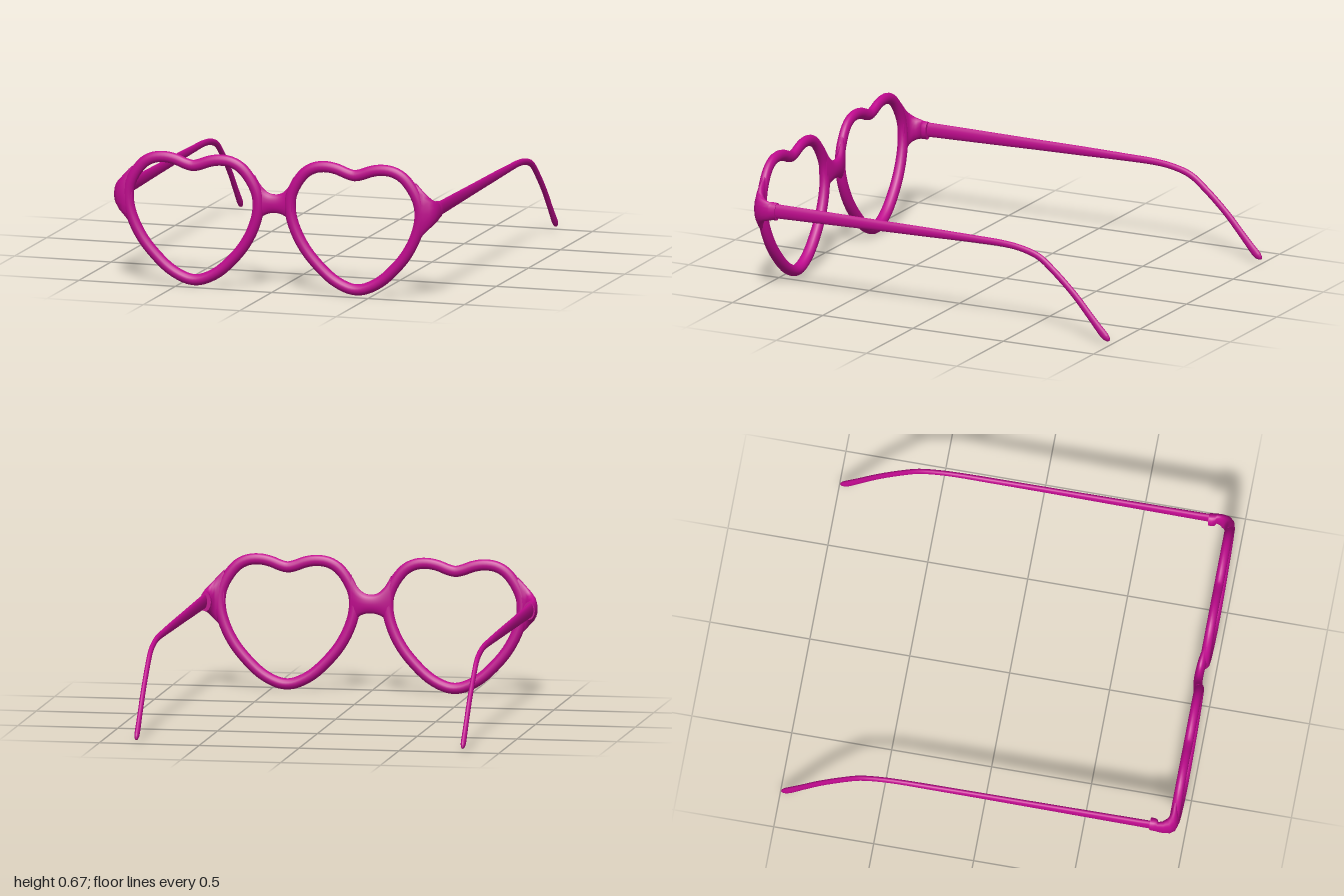
import * as THREE from 'three';

const V = (x, y, z) => new THREE.Vector3(x, y, z);

// Skin over elliptical sections { c: centre, u, v: half-axes }
function loft(sections, closed = false, sides = 16) {
  const pos = [], index = [], n = sections.length;
  const along = sections[1].c.clone().sub(sections[0].c);
  const flip = sections[0].u.clone().cross(sections[0].v).dot(along) < 0 ? -1 : 1;
  const ring = ({ c, u, v }) => {
    for (let j = 0; j < sides; j++) {
      const a = (j / sides) * Math.PI * 2;
      const p = c.clone().addScaledVector(u, Math.cos(a)).addScaledVector(v, flip * Math.sin(a));
      pos.push(p.x, p.y, p.z);
    }
  };
  sections.forEach(ring);
  for (let i = 0; i < (closed ? n : n - 1); i++) {
    const k = ((i + 1) % n) * sides;
    for (let j = 0; j < sides; j++) {
      const a = i * sides + j, b = i * sides + (j + 1) % sides;
      const c = k + j, d = k + (j + 1) % sides;
      index.push(a, b, c, b, d, c);
    }
  }
  if (!closed) {
    // flat end caps with their own vertices
    [sections[0], sections[n - 1]].forEach((s, end) => {
      const base = pos.length / 3;
      ring(s);
      pos.push(s.c.x, s.c.y, s.c.z);
      for (let j = 0; j < sides; j++) {
        const a = base + j, b = base + (j + 1) % sides;
        if (end) index.push(a, b, base + sides);
        else index.push(b, a, base + sides);
      }
    });
  }
  const g = new THREE.BufferGeometry();
  g.setAttribute('position', new THREE.Float32BufferAttribute(pos, 3));
  g.setIndex(index);
  g.computeVertexNormals();
  return g;
}

// Front leans forward slightly toward the top
const frontZ = (y) => 0.94 + 0.05 * y;

function heartRim(s) {
  const half = [
    [0, 0.607], [0.04, 0.616], [0.085, 0.633], [0.14, 0.643], [0.2, 0.637], [0.252, 0.61],
    [0.3, 0.552], [0.332, 0.48], [0.335, 0.4], [0.312, 0.315], [0.264, 0.223], [0.2, 0.145],
    [0.125, 0.077], [0.05, 0.038], [0, 0.029],
  ];
  const all = [...half, ...half.slice(1, -1).reverse().map(([x, y]) => [-x, y])];
  const curve = new THREE.CatmullRomCurve3(all.map(([x, y]) => V(s * 0.42 + x, y, frontZ(y))), true);
  const sections = [];
  for (let i = 0; i < 84; i++) {
    const c = curve.getPoint(i / 84);
    const v = V(0, 0.05, 1).normalize();
    const u = curve.getTangent(i / 84).cross(v).normalize();
    sections.push({ c, u: u.multiplyScalar(0.028), v: v.multiplyScalar(0.03 - 0.012 * c.y) });
  }
  return loft(sections, true);
}

// Nose bridge flaring into both rims
function bridge() {
  const sections = [];
  for (let i = -10; i <= 10; i++) {
    const x = i / 10, f = Math.abs(x) ** 2.4;
    sections.push({
      c: V(x * 0.1, 0.437 + 0.017 * f, 0.948 + 0.014 * f),
      u: V(0, 0, 0.022),
      v: V(0, 0.047 + 0.078 * f, 0),
    });
  }
  return loft(sections);
}

// Corner that wraps from the rim back to the hinge: x, z, half height, across x, across z
function endPiece(s) {
  return loft([
    [0.735, 0.962, 0.15, 0, 0.018],
    [0.755, 0.962, 0.13, 0.001, 0.022],
    [0.778, 0.961, 0.105, 0.004, 0.025],
    [0.797, 0.953, 0.084, 0.014, 0.025],
    [0.81, 0.937, 0.067, 0.023, 0.019],
    [0.818, 0.915, 0.055, 0.023, 0.006],
    [0.821, 0.89, 0.048, 0.02, 0],
    [0.813, 0.881, 0.047, 0.028, 0],
    [0.811, 0.868, 0.046, 0.03, 0],
    [0.811, 0.85, 0.045, 0.029, 0],
  ].map(([x, z, h, ux, uz]) => ({ c: V(s * x, 0.438, z), u: V(s * ux, 0, uz), v: V(0, h, 0) })));
}

// Arm with a drooping ear hook: y, z, half height, half width
function temple(s) {
  const pts = [
    [0.442, 0.87, 0.037, 0.016], [0.443, 0.6, 0.033, 0.015], [0.444, 0.3, 0.028, 0.014],
    [0.445, 0, 0.024, 0.013], [0.445, -0.25, 0.019, 0.013], [0.443, -0.4, 0.017, 0.012],
    [0.432, -0.5, 0.016, 0.012], [0.402, -0.6, 0.017, 0.012], [0.343, -0.68, 0.017, 0.012],
    [0.232, -0.8, 0.017, 0.012], [0.13, -0.89, 0.018, 0.012], [0.054, -0.957, 0.021, 0.013],
    [0.037, -0.975, 0.019, 0.012], [0.027, -0.988, 0.012, 0.008], [0.023, -0.995, 0.003, 0.002],
  ];
  const path = new THREE.CatmullRomCurve3(pts.map(([y, z]) => V(s * 0.817, y, z)));
  const sections = [], steps = 4, last = pts.length - 1;
  for (let i = 0; i <= last * steps; i++) {
    const k = Math.min(Math.floor(i / steps), last - 1), f = i / steps - k;
    const mix = (n) => THREE.MathUtils.lerp(pts[k][n], pts[k + 1][n], f);
    const at = i / (last * steps), t = path.getTangent(at);
    sections.push({
      c: path.getPoint(at),
      u: V(mix(3), 0, 0),
      v: V(0, -t.z, t.y).multiplyScalar(mix(2)),
    });
  }
  return loft(sections);
}

export function createModel() {
  const model = new THREE.Group();
  model.name = 'heartGlasses';
  const magenta = new THREE.MeshStandardMaterial({ color: 0xbf0a8e });
  magenta.name = 'magenta';
  const add = (name, geometry) => {
    const mesh = new THREE.Mesh(geometry, magenta);
    mesh.name = name;
    model.add(mesh);
  };

  add('bridge', bridge());
  for (const [side, s] of [['left', 1], ['right', -1]]) {
    add(side + 'HeartRim', heartRim(s));
    add(side + 'EndPiece', endPiece(s));
    add(side + 'Temple', temple(s));
  }
  return model;
}
